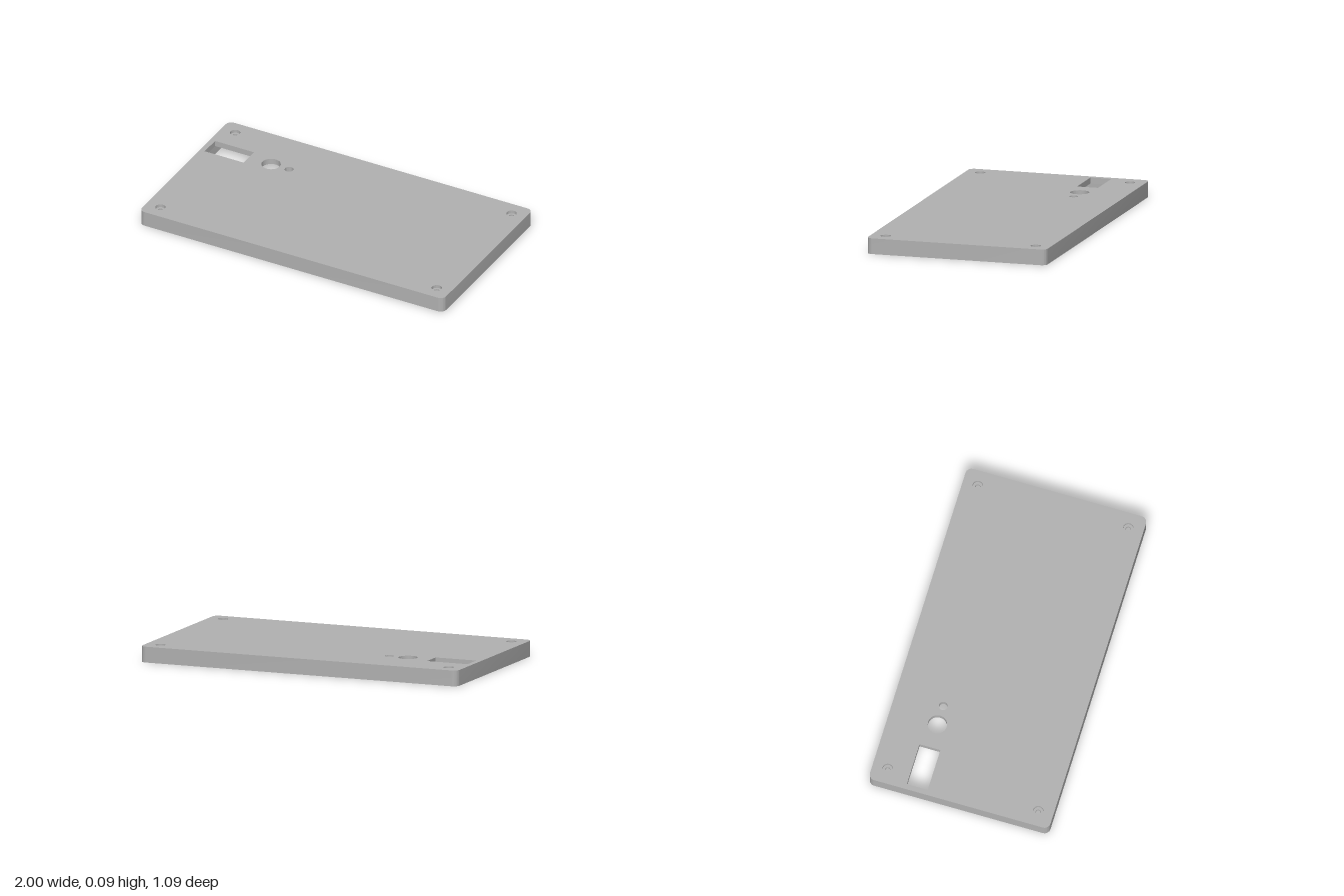
import * as THREE from 'three';
import { mergeGeometries, toCreasedNormals } from 'three/addons/utils/BufferGeometryUtils.js';

const HEIGHT = 0.093, CEILING = 0.058, SEAT = 0.074; // top, underside of plate, screw seat
const HALF_X = 1, HALF_Z = 0.545, WALL = 0.029;

// Outlines are lists of [x, -z] points, counter-clockwise seen from above
const circle = (x, z, r, n = 32) => Array.from({ length: n }, (_, i) => {
  const a = i / n * Math.PI * 2;
  return new THREE.Vector2(x + r * Math.cos(a), -z + r * Math.sin(a));
});

const rect = (x0, x1, z0, z1) => [[x0, z1], [x1, z1], [x1, z0], [x0, z0]]
  .map(([x, z]) => new THREE.Vector2(x, -z));

function roundedRect(hx, hz, r, n = 8) {
  const pts = [];
  [[1, 1], [-1, 1], [-1, -1], [1, -1]].forEach(([sx, sy], q) => {
    for (let i = 0; i <= n; i++) {
      const a = (q + i / n) * Math.PI / 2;
      pts.push(new THREE.Vector2(sx * (hx - r) + r * Math.cos(a), sy * (hz - r) + r * Math.sin(a)));
    }
  });
  return pts;
}

// Flat horizontal face with holes, facing up or down
function cap(outline, holes, y, up) {
  const shape = new THREE.Shape(outline);
  shape.holes = holes.map((h) => new THREE.Path(h));
  const g = new THREE.ShapeGeometry(shape);
  g.rotateX(-Math.PI / 2).translate(0, y, 0);
  if (!up) g.index.array.reverse();
  const flat = g.toNonIndexed();
  flat.deleteAttribute('uv');
  flat.deleteAttribute('normal');
  return flat;
}

// Vertical band along an outline, facing outward or inward
function band(outline, y0, y1, outward) {
  const pos = [];
  outline.forEach((p, i) => {
    const q = outline[(i + 1) % outline.length];
    const a = [p.x, y0, -p.y], b = [q.x, y0, -q.y], c = [q.x, y1, -q.y], d = [p.x, y1, -p.y];
    pos.push(...(outward ? [a, b, c, a, c, d] : [a, c, b, a, d, c]).flat());
  });
  const g = new THREE.BufferGeometry();
  g.setAttribute('position', new THREE.Float32BufferAttribute(pos, 3));
  return g;
}

export function createModel() {
  const group = new THREE.Group();
  group.name = 'enclosureLid';
  const grey = new THREE.MeshStandardMaterial({ color: 0xb2b2b2 });
  grey.name = 'grey plastic';
  const add = (name, parts) => {
    const mesh = new THREE.Mesh(toCreasedNormals(mergeGeometries(parts), 0.6), grey);
    mesh.name = name;
    group.add(mesh);
  };

  const outer = roundedRect(HALF_X, HALF_Z, 0.036);
  const inner = roundedRect(HALF_X - WALL, HALF_Z - WALL, 0.012);

  // Openings through the plate: connector window, button hole, indicator hole
  const openings = [
    rect(-0.969, -0.713, -0.321, -0.195),
    circle(-0.566, -0.257, 0.056, 48),
    circle(-0.448, -0.257, 0.0255),
  ];
  // Counterbored screw holes in the four corners
  const bores = [], shafts = [];
  for (const sx of [-1, 1]) for (const sz of [-1, 1]) {
    bores.push(circle(sx * 0.909, sz * 0.4545, 0.03));
    shafts.push(circle(sx * 0.909, sz * 0.4545, 0.015));
  }

  // Top plate and its underside
  add('topPlate', [
    cap(outer, [...openings, ...bores], HEIGHT, true),
    cap(inner, [...openings, ...shafts], CEILING, false),
  ]);
  // Skirt: outer side, inner side and bottom rim
  add('skirt', [
    band(outer, 0, HEIGHT, true),
    band(inner, 0, CEILING, false),
    cap(outer, [inner], 0, false),
  ]);
  // Sides of the openings
  add('openings', openings.map((o) => band(o, CEILING, HEIGHT, false)));
  // Screw recesses: wide bore, flat seat, narrow shaft
  add('screwHoles', bores.flatMap((b, i) => [
    band(b, SEAT, HEIGHT, false),
    cap(b, [shafts[i]], SEAT, true),
    band(shafts[i], CEILING, SEAT, false),
  ]));
  return group;
}
